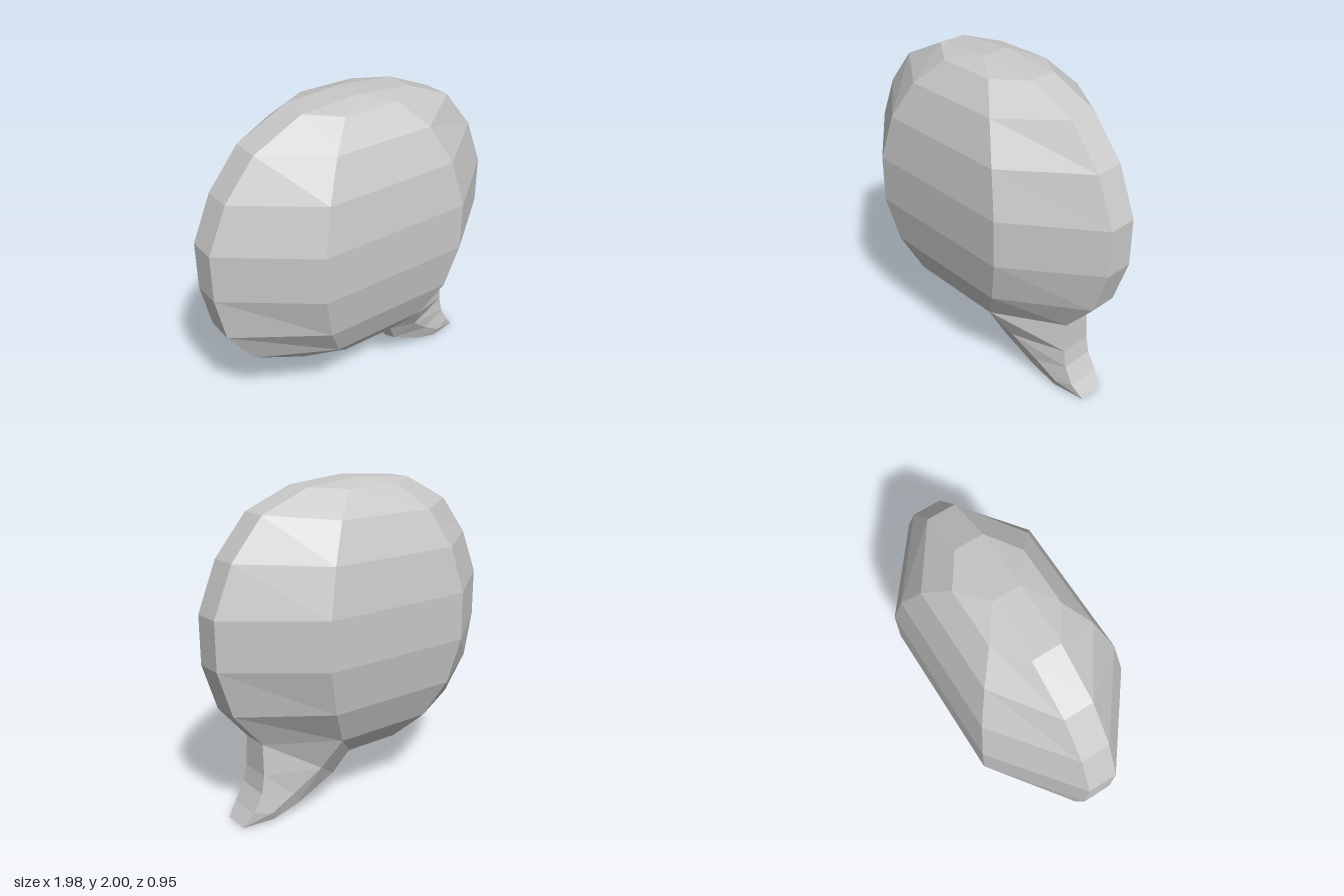
import * as THREE from 'three';

const RIM = 0.088; // half width of the narrow side band

// Skins rings of points, listed from top to bottom, with flat quads
function loft(rings, material, name) {
  const pos = [];
  const tri = (a, b, c) => {
    const n = b.clone().sub(a).cross(c.clone().sub(a));
    if (n.length() > 1e-7) for (const p of [a, b, c]) pos.push(p.x, p.y, p.z);
  };
  for (let i = 0; i < rings.length - 1; i++) {
    const top = rings[i], low = rings[i + 1], n = top.length;
    for (let j = 0; j < n; j++) {
      const k = (j + 1) % n;
      tri(top[j], top[k], low[j]);
      tri(top[k], low[k], low[j]);
    }
  }
  const geo = new THREE.BufferGeometry();
  geo.setAttribute('position', new THREE.Float32BufferAttribute(pos, 3));
  geo.computeVertexNormals();
  const mesh = new THREE.Mesh(geo, material);
  mesh.name = name;
  return mesh;
}

// Completes a front half ring with its mirror image at the back
function mirrorRing(points) {
  const front = points.map(p => new THREE.Vector3(...p));
  const back = front.map(p => new THREE.Vector3(p.x, p.y, -p.z)).reverse();
  return [...front, ...back];
}

export function createModel() {
  const group = new THREE.Group();
  group.name = 'speechBubble';
  const grey = new THREE.MeshStandardMaterial({ color: 0xc8c8c8, flatShading: true });
  grey.name = 'light grey';

  // Bubble levels: face half width, face y, face z, right rim x, y, left rim x, y
  const levels = [
    [0, 2.0, RIM, 0, 2.0, 0, 2.0],
    [0.18, 1.955, 0.22, 0.37, 1.965, -0.37, 1.975],
    [0.32, 1.81, 0.34, 0.67, 1.84, -0.68, 1.82],
    [0.43, 1.585, 0.43, 0.87, 1.6, -0.87, 1.585],
    [0.495, 1.305, 0.475, 0.99, 1.305, -0.99, 1.305],
    [0.495, 1.01, 0.475, 0.99, 1.01, -0.99, 1.01],
    [0.43, 0.73, 0.43, 0.9, 0.725, -0.93, 0.725],
    [0.32, 0.51, 0.34, 0.715, 0.505, -0.76, 0.495],
    [0.18, 0.365, 0.22, 0.42, 0.335, -0.42, 0.335],
    [0, 0.315, RIM, 0, 0.315, 0, 0.315],
  ];
  group.add(loft(levels.map(([w, y, z, rx, ry, lx, ly]) => mirrorRing([
    [rx, ry, RIM], [w, y, z], [-w, y, z], [lx, ly, RIM],
  ])), grey, 'bubble'));

  // Curved tail sections: outer edge, side crease, lower crease, underside
  const tip = [0.865, 0.01, 0.08];
  const sections = [
    [[0.715, 0.505, RIM], [0.32, 0.51, 0.34], [0.18, 0.365, 0.22], [0.19, 0.325, RIM]],
    [[0.72, 0.31, 0.1], [0.39, 0.31, 0.22], [0.26, 0.215, 0.16], [0.25, 0.195, RIM]],
    [[0.74, 0.2, 0.105], [0.55, 0.165, 0.16], [0.5, 0.075, 0.13], [0.5, 0.066, 0.08]],
    [[0.8, 0.09, 0.105], [0.69, 0.07, 0.135], [0.67, 0.015, 0.115], [0.67, 0.005, 0.08]],
    [tip, tip, [0.865, 0.008, 0.08], [0.865, 0.004, 0.08]],
  ];
  group.add(loft(sections.map(mirrorRing), grey, 'tail'));
  return group;
}
